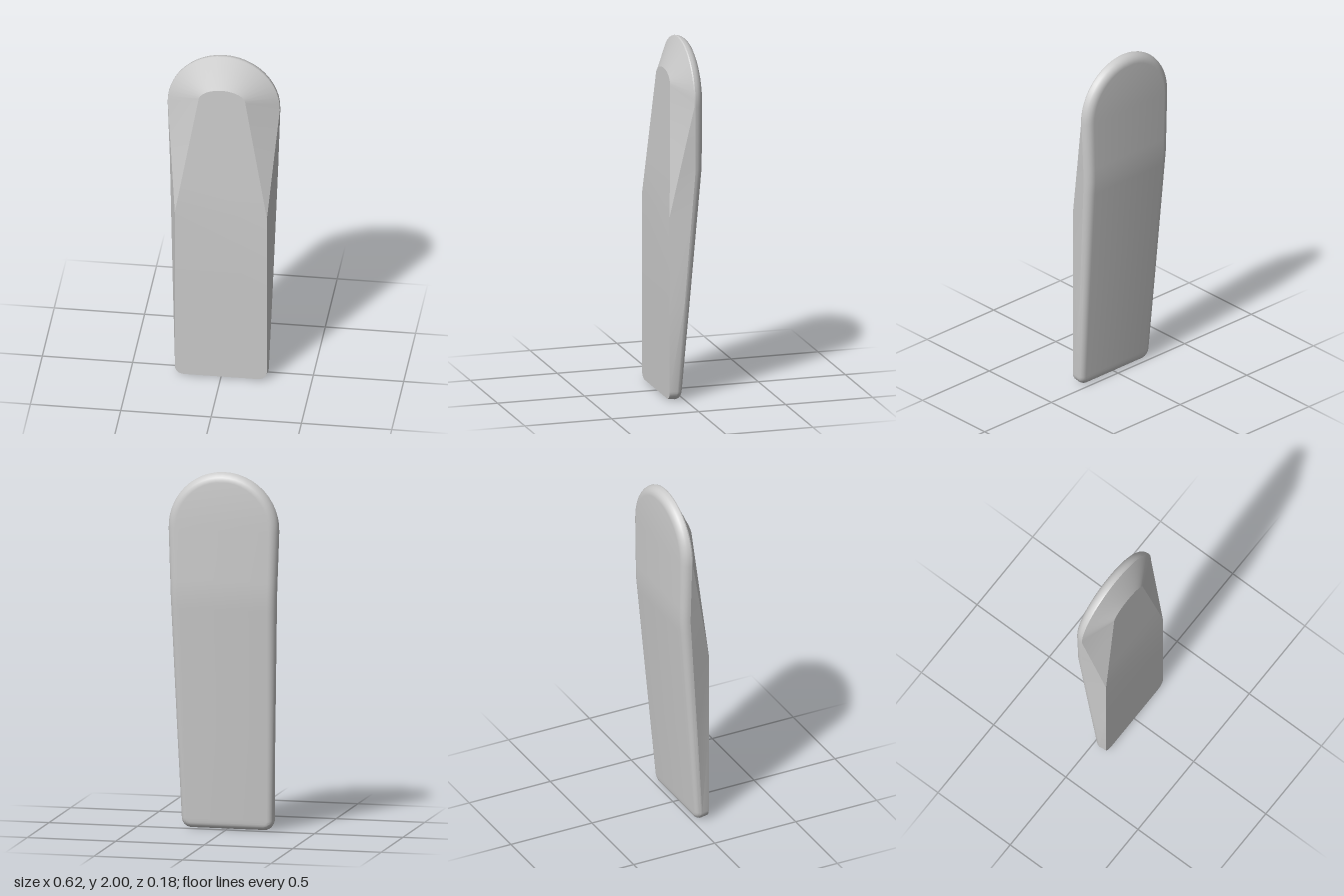
import * as THREE from 'three';
import { toCreasedNormals } from 'three/addons/utils/BufferGeometryUtils.js';

const { lerp, clamp } = THREE.MathUtils;
const CORNER = 6, ARC = 12, FILLET = 6;
const ARC_Y = 1.688, ARC_R = 0.312, BEND = 1.05, SHOULDER = 1.678;
const sideX = y => lerp(0.26, 0.311, y / SHOULDER);
const frontZ = y => 0.09 - Math.max(0, y - BEND) * 0.0577;
const backZ = y => lerp(0.018, -0.092, clamp(y / 1.32, 0, 1));
const filletSize = y => lerp(0.033, 0.05, clamp(y / SHOULDER, 0, 1));

// Stations along the right half of the outline, bottom centre to top centre
const stations = [{ kind: 'base' }];
for (let i = 0; i <= CORNER; i++) stations.push({ kind: 'corner', a: (i / CORNER - 1) * Math.PI / 2 });
for (const y of [0.55, BEND, 1.24, 1.32, 1.4]) stations.push({ kind: 'side', y });
for (let i = 0; i <= ARC; i++) stations.push({ kind: 'arc', t: i / ARC, a: lerp(-0.031, Math.PI / 2, i / ARC) });

// Outline point at a station, moved inwards by d
function outline(s, d, baseX = 0.26) {
  if (s.kind === 'base') return [0, d];
  if (s.kind === 'corner') {
    const r = 0.055 - d;
    return [baseX - 0.055 + r * Math.cos(s.a), 0.055 + r * Math.sin(s.a)];
  }
  if (s.kind === 'side') return [sideX(s.y) - d, s.y];
  const r = ARC_R - d;
  return [s.a === Math.PI / 2 ? 0 : r * Math.cos(s.a), ARC_Y + r * Math.sin(s.a)];
}

// Front edge: flat below the bend, sweeping back to the rim above it
function frontEdge(s) {
  if (s.kind === 'arc') return [...outline(s, 0.002), -0.035];
  if (s.kind === 'side') {
    const t = clamp((s.y - BEND) / (SHOULDER - BEND), 0, 1);
    return [lerp(0.255, 0.309, t), s.y, lerp(0.09, -0.035, t)];
  }
  return [...outline(s, 0.006, 0.261), 0.09];
}

// Border of the raised front panel, narrowing to a rounded end
function frontPanel(s) {
  if (s.kind === 'arc') {
    const a = s.t * Math.PI / 2, y = 1.76 + 0.07 * Math.sin(a);
    return [s.t === 1 ? 0 : 0.13 * Math.cos(a), y, frontZ(y)];
  }
  if (s.kind === 'side' && s.y > BEND) {
    const t = (s.y - BEND) / (SHOULDER - BEND), y = lerp(BEND, 1.76, t);
    return [lerp(0.255, 0.13, t), y, frontZ(y)];
  }
  return frontEdge(s);
}

// One step of the rounded back edge
function backFillet(s, a) {
  const r = filletSize(outline(s, 0)[1]);
  const [x, y] = outline(s, r * (1 - Math.cos(a)));
  return [x, y, backZ(y) + r * (1 - Math.sin(a))];
}

function bodyGeometry() {
  const halves = [stations.map(frontPanel), stations.map(frontEdge)];
  for (let k = 0; k <= FILLET; k++) halves.push(stations.map(s => backFillet(s, k / FILLET * Math.PI / 2)));

  const mirror = ([x, y, z]) => [x === 0 ? 0 : -x, y, z];
  const rings = halves.map(h => [...h, ...h.slice(1, -1).reverse().map(mirror)]);
  const positions = [];
  const triangle = (...pts) => {
    const [a, b, c] = pts.map(p => new THREE.Vector3(...p));
    if (b.clone().sub(a).cross(c.clone().sub(a)).length() > 1e-9) positions.push(...pts.flat());
  };
  const quad = (a, b, c, d) => { triangle(a, b, c); triangle(a, c, d); };

  // Walls between neighbouring rings
  for (let k = 0; k < rings.length - 1; k++) {
    const f = rings[k], b = rings[k + 1], n = f.length;
    for (let i = 0; i < n; i++) {
      const j = (i + 1) % n;
      quad(f[i], b[i], b[j], f[j]);
    }
  }
  // Front and back faces as strips from side to side
  const front = halves[0], back = halves[halves.length - 1];
  for (let i = 0; i < stations.length - 1; i++) {
    quad(front[i], front[i + 1], mirror(front[i + 1]), mirror(front[i]));
    quad(back[i], mirror(back[i]), mirror(back[i + 1]), back[i + 1]);
  }
  const g = new THREE.BufferGeometry();
  g.setAttribute('position', new THREE.Float32BufferAttribute(positions, 3));
  return toCreasedNormals(g, 0.34);
}

export function createModel() {
  const group = new THREE.Group();
  const body = new THREE.Mesh(bodyGeometry(), new THREE.MeshStandardMaterial({ color: 0xcccccc }));
  body.name = 'taperedHandleBody';
  group.add(body);
  return group;
}
